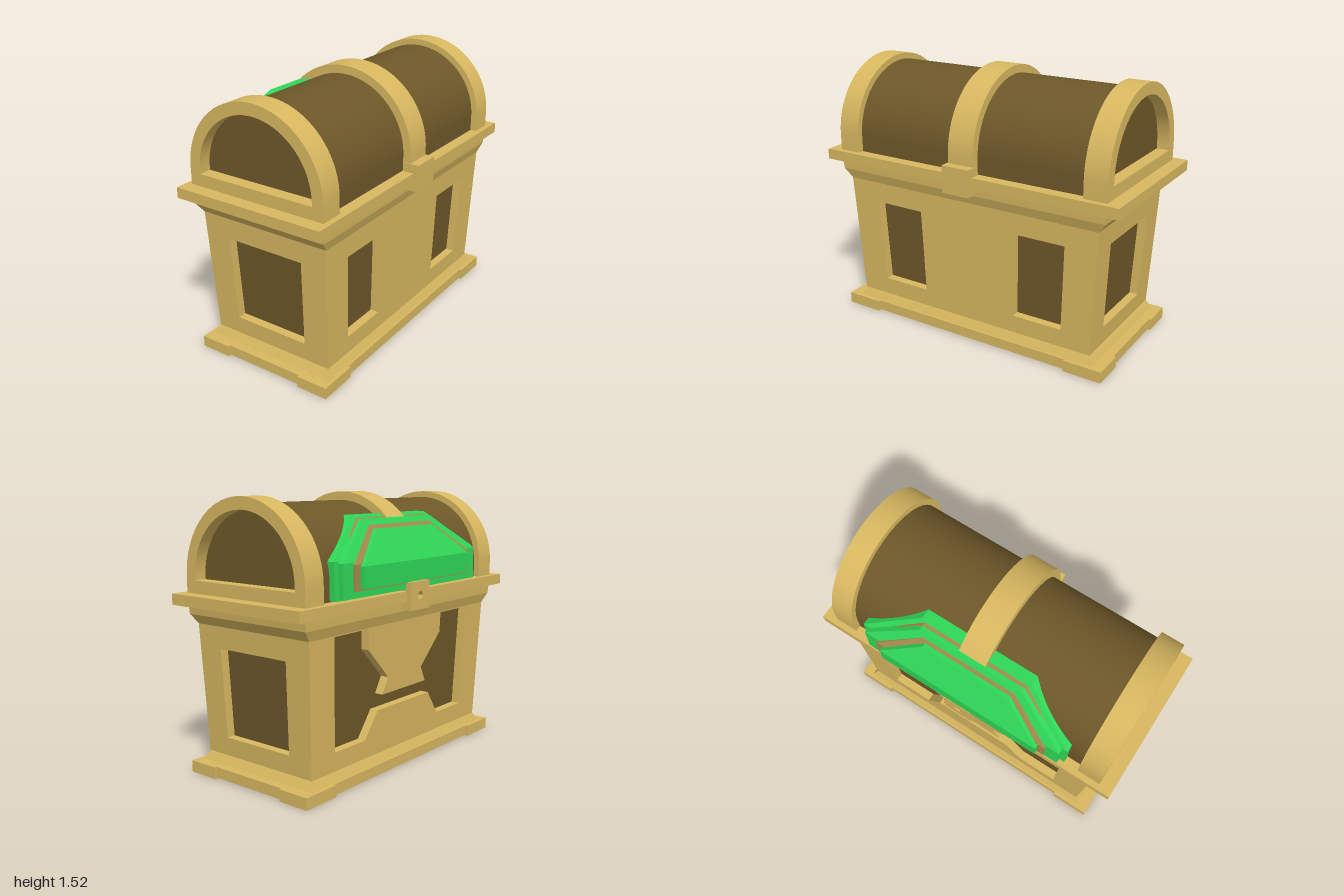
import * as THREE from 'three';
import { toCreasedNormals } from 'three/addons/utils/BufferGeometryUtils.js';

const material = (color) => new THREE.MeshStandardMaterial({ color });

export function createModel() {
  const gold = material(0xd8b860), brown = material(0x6e5829);
  const green = material(0x2fd858), tan = material(0xa58c4e);
  const chest = new THREE.Group();
  chest.name = 'chest';

  const add = (name, geometry, mat, crease = 0.1) => {
    const mesh = new THREE.Mesh(toCreasedNormals(geometry, crease), mat);
    mesh.name = name;
    chest.add(mesh);
    return mesh;
  };
  const box = (name, mat, w, h, d, x, y, z) =>
    add(name, new THREE.BoxGeometry(w, h, d).translate(x, y, z), mat);

  // Four-sided block with different half sizes at bottom and top
  const frustum = (name, mat, y0, hx0, hz0, y1, hx1, hz1) => {
    const g = new THREE.BoxGeometry(2, 2, 2), p = g.attributes.position;
    for (let i = 0; i < p.count; i++) {
      const top = p.getY(i) > 0;
      p.setXYZ(i, p.getX(i) * (top ? hx1 : hx0), top ? y1 : y0, p.getZ(i) * (top ? hz1 : hz0));
    }
    return add(name, g, mat);
  };
  const polygon = (points, Type = THREE.Path) => new Type(points.map(([x, y]) => new THREE.Vector2(x, y)));
  const rect = (x0, x1, y0, y1) => polygon([[x0, y0], [x1, y0], [x1, y1], [x0, y1]]);

  // Base: plinth, sloped step and four corner feet
  box('plinth', gold, 0.824, 0.06, 1.7, 0, 0.035, 0);
  frustum('baseStep', gold, 0.06, 0.403, 0.803, 0.112, 0.377, 0.771);
  for (const sx of [-1, 1]) for (const sz of [-1, 1])
    box('foot', gold, 0.185, 0.065, 0.225, sx * 0.3335, 0.0325, sz * 0.7515);

  // Body: dark core wrapped in four sloping panels with openings
  const Y0 = 0.11, Y1 = 0.83, DEPTH = 0.05;
  const HX = [0.377, 0.4], HZ = [0.771, 0.807];
  frustum('core', brown, Y0, HX[0] - DEPTH, HZ[0] - DEPTH, Y1, HX[1] - DEPTH, HZ[1] - DEPTH);
  const panel = (name, width, out, holes, angle) => {
    const w = width[1];
    const shape = polygon([[-w, Y0], [w, Y0], [w, Y1], [-w, Y1]], THREE.Shape);
    shape.holes.push(...holes);
    const g = new THREE.ExtrudeGeometry(shape, { depth: DEPTH, bevelEnabled: false });
    const p = g.attributes.position;
    for (let i = 0; i < p.count; i++) {
      const t = (p.getY(i) - Y0) / (Y1 - Y0);
      p.setX(i, p.getX(i) * THREE.MathUtils.lerp(width[0], w, t) / w);
      p.setZ(i, p.getZ(i) - DEPTH + THREE.MathUtils.lerp(out[0], out[1], t));
    }
    add(name, g.rotateY(angle), gold);
  };
  const endHole = () => [rect(-0.24, 0.24, 0.215, 0.71)];
  panel('frontPanel', HX, HZ, endHole(), 0);
  panel('backPanel', HX, HZ, endHole(), Math.PI);
  panel('leftPanel', HZ, HX, [rect(-0.62, -0.31, 0.215, 0.71), rect(0.31, 0.62, 0.215, 0.71)], Math.PI / 2);
  // One wide opening around a hanging, waisted centre piece
  const half = [[0.25, 0.36], [0.36, 0.215], [0.62, 0.215], [0.62, 0.825], [0.34, 0.825],
    [0.34, 0.71], [0.16, 0.53], [0.21, 0.44]];
  const opening = [...half, ...half.map(([x, y]) => [-x, y]).reverse()];
  panel('rightPanel', HZ, HX, [polygon(opening)], -Math.PI / 2);

  // Flared collar and rim
  frustum('collarFlare', gold, Y1, 0.4, 0.807, 0.885, 0.418, 0.85);
  frustum('collar', gold, 0.885, 0.418, 0.85, 0.945, 0.421, 0.857);
  box('rim', gold, 0.914, 0.06, 1.868, 0, 0.97, 0);

  // Barrel lid: every section is an arch standing on the rim
  const SPRING = 1.09;
  const arch = (Type, r, y0) => {
    const s = new Type();
    s.moveTo(-r, y0);
    s.lineTo(r, y0);
    s.lineTo(r, SPRING);
    s.absarc(0, SPRING, r, 0, Math.PI, false);
    s.lineTo(-r, y0);
    return s;
  };
  const lidPart = (name, mat, r, z0, z1, hole) => {
    const s = arch(THREE.Shape, r, 1);
    if (hole) s.holes.push(arch(THREE.Path, hole, 1.07));
    const g = new THREE.ExtrudeGeometry(s, { depth: z1 - z0, bevelEnabled: false, curveSegments: 28 });
    add(name, g.translate(0, 0, z0), mat, 0.5);
  };
  lidPart('lidBarrel', brown, 0.388, -0.785, 0.785);
  lidPart('frontBand', gold, 0.424, 0.725, 0.857, 0.358);
  lidPart('backBand', gold, 0.424, -0.857, -0.725, 0.358);
  lidPart('middleBand', gold, 0.435, -0.08, 0.08);

  // Clasps; the right one has a keyhole
  box('leftClasp', gold, 0.09, 0.155, 0.17, 0.442, 0.973, 0);
  const lock = polygon([[-0.085, 0.895], [0.085, 0.895], [0.085, 1.05], [-0.085, 1.05]], THREE.Shape);
  lock.holes.push(new THREE.Path().absarc(0, 0.972, 0.025, 0, Math.PI * 2));
  add('rightClasp', new THREE.ExtrudeGeometry(lock, { depth: 0.09, bevelEnabled: false, curveSegments: 3 })
    .rotateY(-Math.PI / 2).translate(-0.397, 0, 0), gold);

  // Stacked plates on the lid's right side; rows are [half length, y, outer x], bottom to top
  const plate = (name, mat, thickness, rows) => {
    const g = new THREE.BoxGeometry(1, 2, 2, 1, 2, 1), p = g.attributes.position;
    for (let i = 0; i < p.count; i++) {
      const [h, y, x] = rows[Math.round(p.getY(i)) + 1];
      p.setXYZ(i, x + (p.getX(i) > 0 ? thickness : 0), y, Math.sign(p.getZ(i)) * h);
    }
    add(name, g, mat);
  };
  plate('innerPlate', green, 0.06, [[0.64, 1.005, -0.425], [0.64, 1.2, -0.415], [0.33, 1.41, -0.275]]);
  plate('innerSpacer', tan, 0.05, [[0.6, 1.02, -0.437], [0.6, 1.19, -0.43], [0.31, 1.395, -0.3]]);
  plate('middlePlate', green, 0.03, [[0.61, 1.01, -0.452], [0.61, 1.19, -0.447], [0.31, 1.39, -0.33]]);
  plate('outerSpacer', tan, 0.04, [[0.53, 1.045, -0.463], [0.53, 1.18, -0.46], [0.28, 1.36, -0.35]]);
  plate('outerPlate', green, 0.035, [[0.49, 1.055, -0.485], [0.49, 1.17, -0.485], [0.26, 1.34, -0.385]]);

  // The chest stands slightly turned
  chest.rotation.y = THREE.MathUtils.degToRad(10);
  const model = new THREE.Group();
  model.name = 'treasureChest';
  model.add(chest);
  return model;
}
